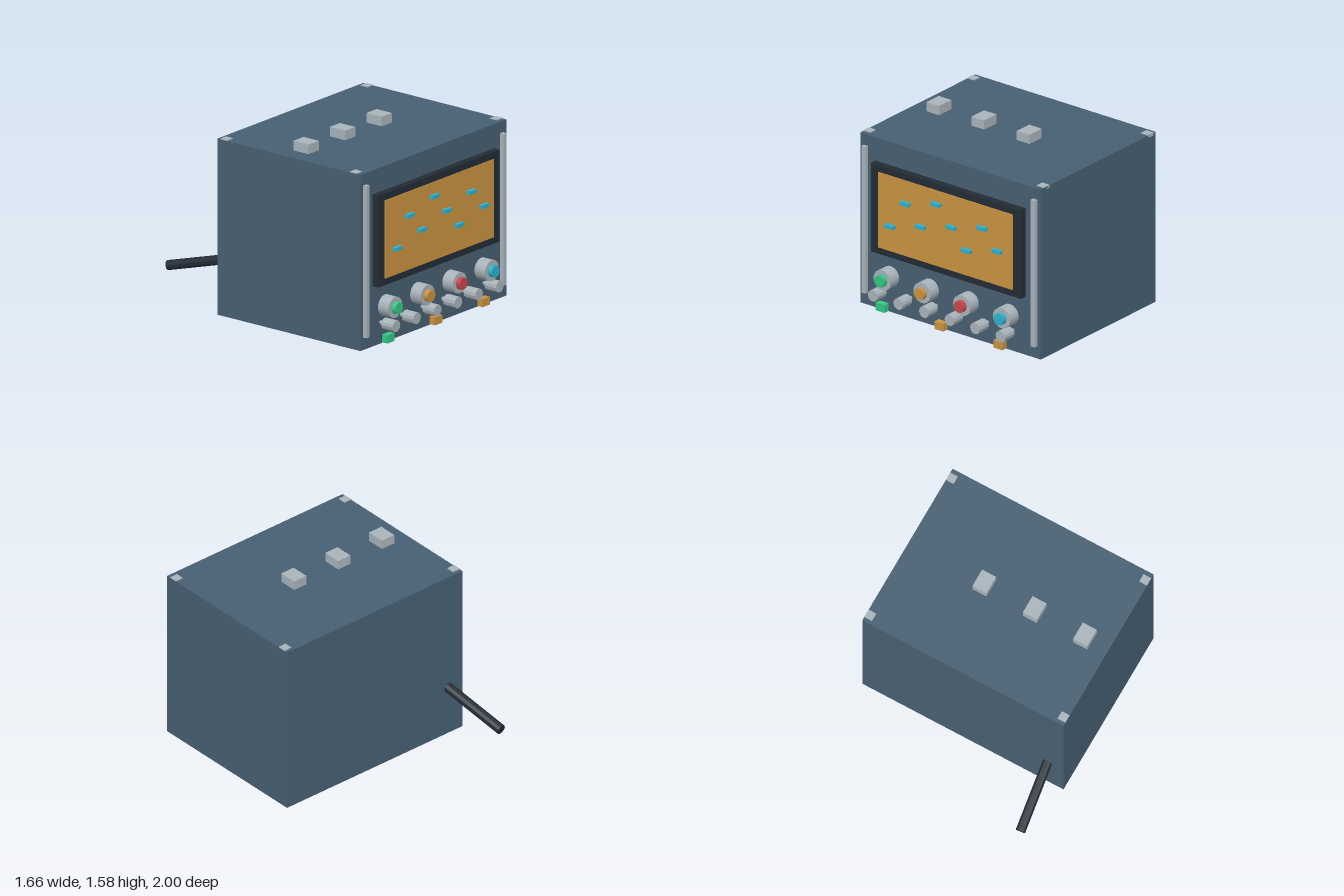
import * as THREE from 'three';

const mat = (name, color) => {
  const m = new THREE.MeshStandardMaterial({ color, flatShading: true });
  m.name = name;
  return m;
};

export function createModel() {
  const blue = mat('slate blue', 0x475f72);
  const dark = mat('charcoal', 0x232c35);
  const grey = mat('light grey', 0xa8b3ba);
  const amber = mat('amber', 0xc89340);
  const green = mat('green', 0x34c684);
  const red = mat('red', 0xc9464b);
  const cyan = mat('cyan', 0x2eb0cc);

  const model = new THREE.Group();
  model.name = 'controlConsole';

  const add = (name, geometry, material, x = 0, y = 0, z = 0) => {
    const mesh = new THREE.Mesh(geometry, material);
    mesh.name = name;
    mesh.position.set(x, y, z);
    model.add(mesh);
    return mesh;
  };
  // Box given by its centre in x, and its limits in y and z
  const box = (name, material, x, w, y0, y1, z0, z1) =>
    add(name, new THREE.BoxGeometry(w, y1 - y0, z1 - z0), material, x, (y0 + y1) / 2, (z0 + z1) / 2);
  // Cylinder facing forward between two depths
  const dial = (name, material, x, y, r, z0, z1, sides) =>
    add(name, new THREE.CylinderGeometry(r, r, z1 - z0, sides).rotateX(Math.PI / 2), material, x, y, (z0 + z1) / 2);

  const front = 0.853, back = -0.478, top = 1.505;

  // Cabinet
  box('cabinet', blue, 0, 1.66, 0.17, top, back, front);

  // Corner plates on the lid and rails on the front
  for (const side of [-1, 1]) {
    for (const z of [-0.418, 0.786]) {
      box('cornerPlate', grey, side * 0.798, 0.064, top - 0.02, top + 0.006, z - 0.032, z + 0.032);
    }
    box('frontRail', grey, side * 0.779, 0.038, 0.265, 1.417, front, 0.882);
  }

  // Blocks on the lid
  for (const x of [-0.635, -0.22, 0.196]) {
    box('lidBlock', grey, x, 0.116, top, 1.577, 0.117, 0.26);
  }

  // Screen and its markers
  box('screenFrame', dark, 0, 1.38, 0.626, 1.322, front, 0.906);
  box('screen', amber, 0, 1.236, 0.678, 1.27, 0.906, 0.912);
  const markerHeights = [0.88, 1.095, 0.952, 1.168, 1.025, 0.88, 1.095, 0.952];
  markerHeights.forEach((y, i) => {
    box('screenMarker', cyan, -0.5 + i * 0.141, 0.08, y - 0.0135, y + 0.0135, 0.912, 0.943);
  });

  // Large dials with coloured caps
  [green, amber, red, cyan].forEach((material, i) => {
    const x = -0.551 + i * 0.366;
    dial('dialRing', grey, x, 0.451, 0.079, front, 0.951, 24);
    dial('dialCap', material, x, 0.451, 0.045, 0.951, 0.987, 18);
  });

  // Row of small knobs
  for (let i = 0; i < 6; i++) {
    const x = -0.6 + i * 0.2352;
    dial('smallKnob', grey, x, 0.331, 0.044, 0.893, 1, 12);
    dial('knobShaft', grey, x, 0.331, 0.015, front, 0.893, 12);
  }

  // Square buttons on short pegs
  [green, amber, amber].forEach((material, i) => {
    const x = -0.583 + i * 0.542;
    box('squareButton', material, x, 0.082, 0.192, 0.252, 0.886, 0.936);
    box('buttonPeg', dark, x, 0.02, 0.212, 0.232, front, 0.886);
  });

  // Round foot with a hollow ring beneath it
  add('footCollar', new THREE.CylinderGeometry(0.286, 0.286, 0.127, 24), dark, 0, 0.1085, 0.187);
  const ringProfile = [[0.25, 0], [0.324, 0], [0.324, 0.045], [0.25, 0.045], [0.25, 0]]
    .map(([r, y]) => new THREE.Vector2(r, y));
  add('footRing', new THREE.LatheGeometry(ringProfile, 24), cyan, 0, 0, 0.187);

  // Lever leaning down and back from the rear
  const base = new THREE.Vector3(-0.685, 0.586, -0.38);
  const tip = new THREE.Vector3(-0.761, 0.422, -0.99);
  const along = tip.clone().sub(base);
  const lever = add('rearLever', new THREE.CylinderGeometry(0.038, 0.038, along.length(), 10), dark);
  lever.position.copy(base).add(tip).multiplyScalar(0.5);
  lever.quaternion.setFromUnitVectors(new THREE.Vector3(0, 1, 0), along.normalize());

  return model;
}
